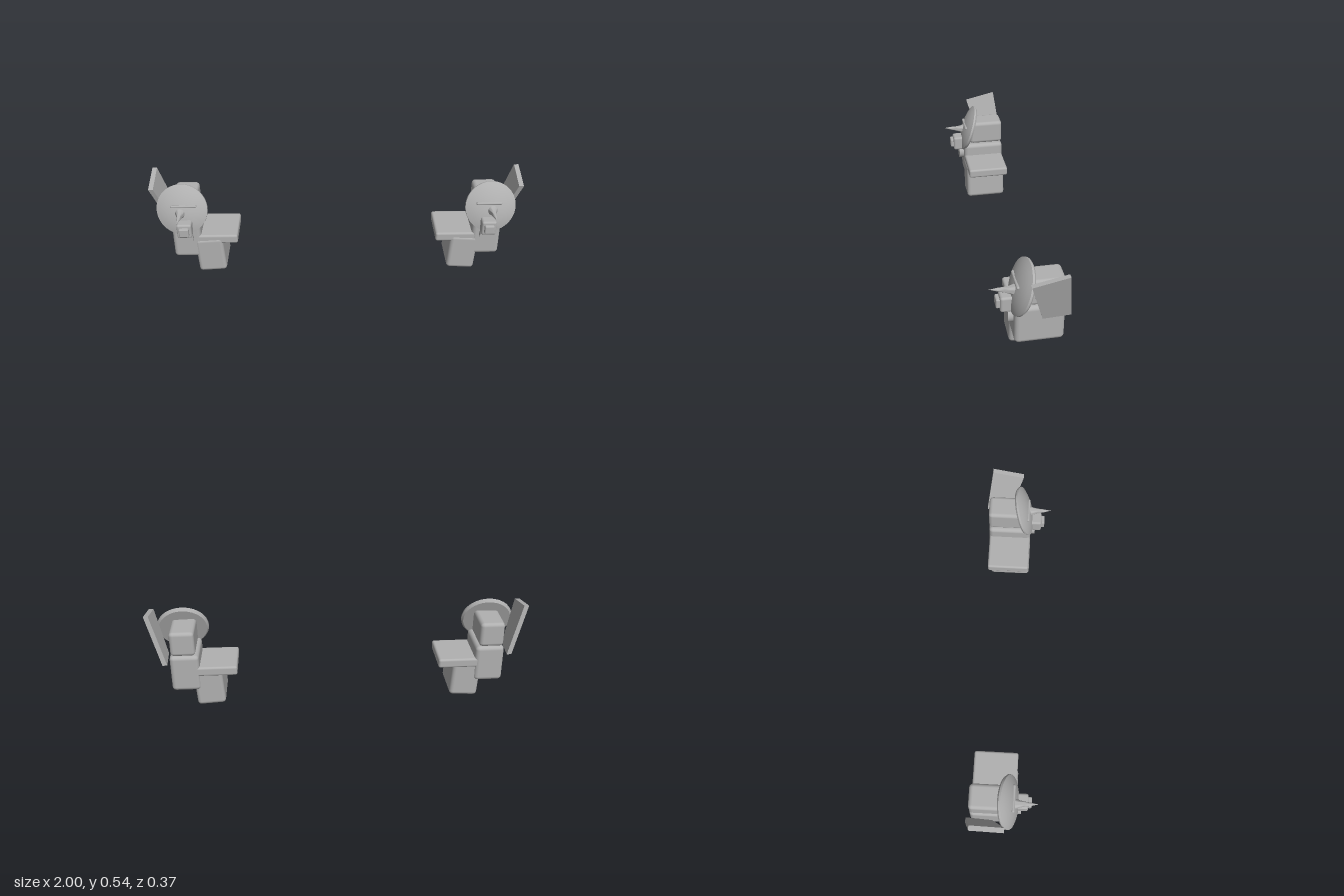
import * as THREE from 'three';
import { RoundedBoxGeometry } from 'three/addons/geometries/RoundedBoxGeometry.js';
import { toCreasedNormals } from 'three/addons/utils/BufferGeometryUtils.js';

const grey = new THREE.MeshStandardMaterial({ color: 0xb0b0b0 });
grey.name = 'plain grey';

function add(parent, name, geometry, x, y, z) {
  const mesh = new THREE.Mesh(geometry, grey);
  mesh.name = name;
  mesh.position.set(x, y, z);
  parent.add(mesh);
  return mesh;
}

// Box given by its limits, with softened edges
function block(parent, name, [x0, x1], [y0, y1], [z0, z1], radius, side) {
  const geometry = new RoundedBoxGeometry(x1 - x0, y1 - y0, z1 - z0, 2, radius);
  return add(parent, name, geometry, side * (x0 + x1) / 2, (y0 + y1) / 2, (z0 + z1) / 2);
}

// Turned shape whose axis points to the front; points are [radius, distance forward]
function turned(points, segments, crease) {
  const profile = points.map(([r, d]) => new THREE.Vector2(r, d));
  return toCreasedNormals(new THREE.LatheGeometry(profile, segments).rotateX(Math.PI / 2), crease);
}

// Leaning side flap: a four-cornered plate, sheared outward towards the top
function flapGeometry(side) {
  const thickness = 0.025;
  const corners = [[0.022, 0.503], [-0.149, 0.541], [-0.183, 0.272], [-0.046, 0.272]];
  const shape = new THREE.Shape(corners.map(([z, y]) => new THREE.Vector2(-z, y)));
  const geometry = new THREE.ExtrudeGeometry(shape, { depth: thickness, bevelEnabled: false });
  geometry.rotateY(Math.PI / 2);
  const p = geometry.attributes.position;
  for (let i = 0; i < p.count; i++) {
    const y = p.getY(i), z = p.getZ(i);
    const lean = 0.9125 + (y - 0.272) * 0.275 + (z + 0.15) * 0.05;
    p.setX(i, p.getX(i) - thickness / 2 + side * lean);
  }
  geometry.computeVertexNormals();
  return geometry;
}

function shoulder(side) {
  const group = new THREE.Group();
  group.name = side > 0 ? 'leftShoulder' : 'rightShoulder';

  // Stacked blocks
  const lower = block(group, 'lowerArm', [0.617, 0.769], [0.006, 0.215], [-0.154, 0.075], 0.02, side);
  lower.rotation.z = -side * 0.06;
  block(group, 'shoulderPlate', [0.54, 0.77], [0.186, 0.238], [-0.162, 0.071], 0.012, side);
  block(group, 'upperBody', [0.737, 0.89], [0.102, 0.308], [-0.165, 0.073], 0.022, side);
  block(group, 'headBlock', [0.752, 0.882], [0.31, 0.447], [-0.165, 0.035], 0.02, side);

  // Domed face disc, leaning back
  const disc = add(group, 'faceDisc', turned([
    [0, -0.02], [0.128, -0.02], [0.137, -0.01], [0.137, 0],
    [0.115, 0.01], [0.08, 0.021], [0.04, 0.028], [0, 0.03],
  ], 40, 0.6), side * 0.828, 0.39, 0.04);
  disc.rotation.set(-0.33, side * 0.06, 0, 'YXZ');

  // Brow bar
  const brow = add(group, 'browBar', new THREE.CapsuleGeometry(0.008, 0.124, 4, 10), side * 0.815, 0.42, 0.059);
  brow.rotation.z = Math.PI / 2;

  // Flared spike
  const spike = add(group, 'spike', turned([
    [0.034, -0.015], [0.027, 0.005], [0.019, 0.025], [0.013, 0.05], [0.009, 0.08], [0, 0.122],
  ], 20, 1), side * 0.834, 0.38, 0.064);
  spike.rotation.x = -0.12;

  // Mouth boxes and the round boss below them
  block(group, 'mouthBlock', [0.773, 0.852], [0.265, 0.348], [0.03, 0.134], 0.012, side);
  block(group, 'mouthTip', [0.786, 0.838], [0.282, 0.332], [0.11, 0.152], 0.007, side);
  add(group, 'chestBoss', new THREE.CylinderGeometry(0.043, 0.043, 0.06, 28).rotateX(Math.PI / 2),
    side * 0.818, 0.238, 0.069);

  add(group, 'sideFlap', flapGeometry(side), 0, 0, 0);
  return group;
}

export function createModel() {
  const model = new THREE.Group();
  model.name = 'shoulderPair';
  for (const side of [-1, 1]) model.add(shoulder(side));
  return model;
}
